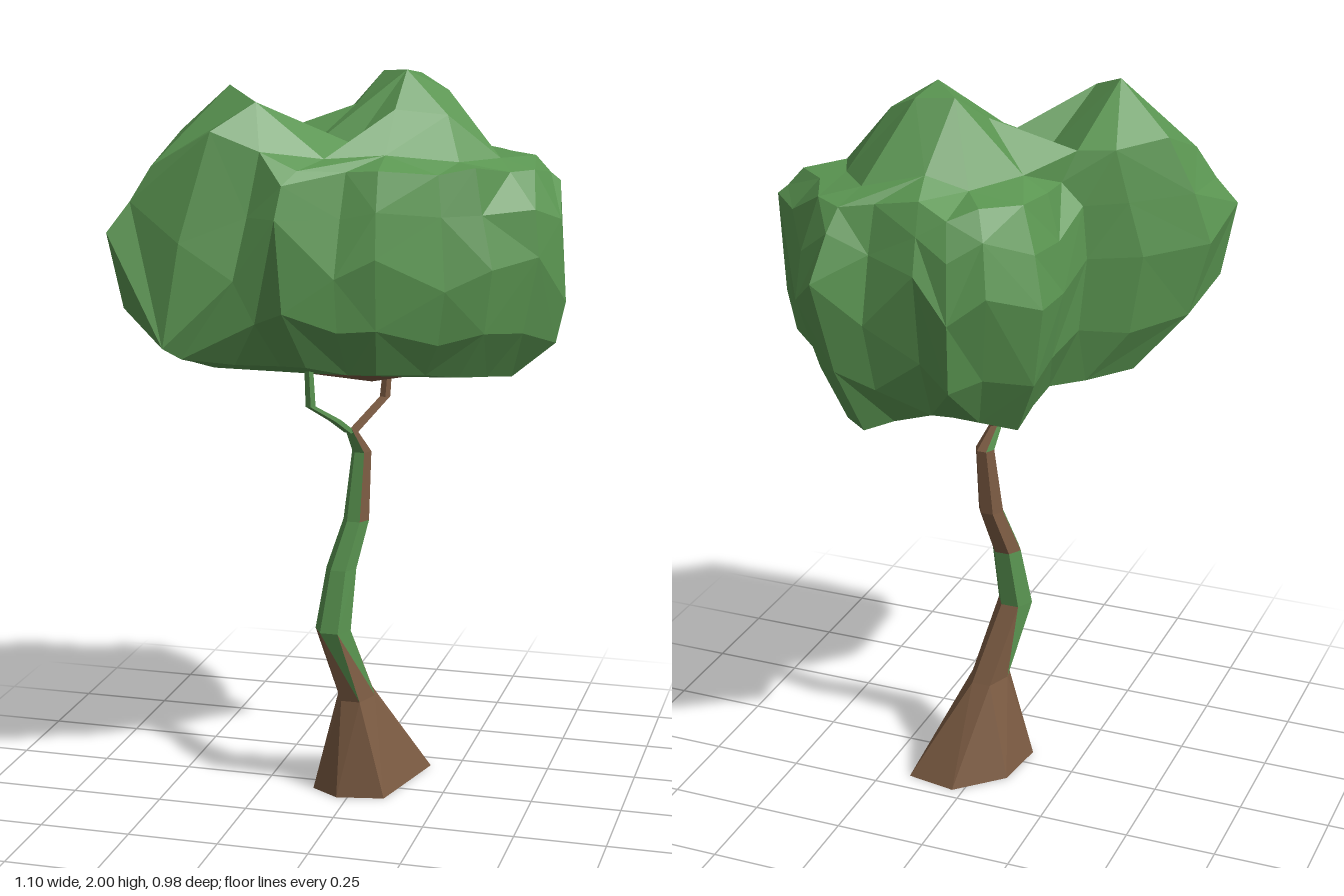
import * as THREE from 'three';

const bark = new THREE.MeshStandardMaterial({ color: 0x7d5c43, flatShading: true });
bark.name = 'bark brown';
const leaf = new THREE.MeshStandardMaterial({ color: 0x5a9551, flatShading: true });
leaf.name = 'leaf green';

let seed = 11;
const rand = () => (seed = (seed * 16807) % 2147483647) / 2147483647;
const jitter = (s) => (rand() * 2 - 1) * s;

// Skin a stack of closed rings with flat facets. isGreen(row, side, half) picks
// the colour of each triangle, flip(row) the diagonal that splits each quad.
function skin(name, rings, isGreen, flip = () => false) {
  const buckets = { Bark: [], Leaf: [] };
  const add = (green, p, q, r) => {
    if (p.distanceTo(q) < 1e-5 || q.distanceTo(r) < 1e-5 || r.distanceTo(p) < 1e-5) return;
    for (const v of [p, q, r]) buckets[green ? 'Leaf' : 'Bark'].push(v.x, v.y, v.z);
  };
  for (let i = 0; i < rings.length - 1; i++) {
    const n = rings[i].length;
    for (let j = 0; j < n; j++) {
      const k = (j + 1) % n;
      const a = rings[i][j], a1 = rings[i][k], b = rings[i + 1][j], b1 = rings[i + 1][k];
      const flipped = flip(i);
      add(isGreen(i, j, 0), a, flipped ? b1 : b, a1);
      add(isGreen(i, j, 1), flipped ? a : a1, b, b1);
    }
  }
  const group = new THREE.Group();
  group.name = name;
  for (const [key, data] of Object.entries(buckets)) {
    if (!data.length) continue;
    const geo = new THREE.BufferGeometry();
    geo.setAttribute('position', new THREE.Float32BufferAttribute(data, 3));
    geo.computeVertexNormals();
    const mesh = new THREE.Mesh(geo, key === 'Leaf' ? leaf : bark);
    mesh.name = name + key;
    group.add(mesh);
  }
  return group;
}

// Horizontal rings from rows of [x, y, z, radiusX, radiusZ].
const tubeRings = (rows, sides) => rows.map(([x, y, z, rx, rz = rx]) =>
  Array.from({ length: sides }, (_, k) => {
    const a = (k / sides) * Math.PI * 2;
    return new THREE.Vector3(x + Math.cos(a) * rx, y, z + Math.sin(a) * rz);
  }));

// Trunk: lopsided flared base, crooked stem, moss creeping up the front.
function makeTrunk() {
  const foot = [[0.17, -0.19], [0.1, 0.085], [-0.03, 0.11], [-0.11, 0.06], [-0.09, -0.1], [0.03, -0.215]]
    .map(([x, z]) => new THREE.Vector3(x, 0, z));
  const stem = tubeRings([
    [0.0, 0.27, 0.0, 0.053, 0.08],
    [-0.047, 0.48, 0.076, 0.05, 0.052],
    [-0.03, 0.65, 0.05, 0.042],
    [0.002, 0.78, 0.012, 0.036, 0.037],
    [0.013, 0.97, -0.005, 0.027, 0.03],
    [-0.008, 1.04, 0.035, 0.016],
  ], 6);
  const rings = [foot.map(() => new THREE.Vector3(0.02, 0, -0.04)), foot, ...stem];
  const moss = (row, side, half) =>
    (row === 2 && (side < 2 || side === 3) && half === 1) || row === 3 ||
    (row === 4 && side < 3) || (row === 5 && (side === 1 || side === 2)) ||
    (row === 6 && side > 0 && side < 4);
  return skin('trunk', rings, moss, (row) => row === 2);
}

// Two thin branches that carry the crown.
function makeBranch(name, rows, green) {
  return skin(name, tubeRings(rows, 5), () => green);
}

// Crown outline seen from above: [x, z, height of the widest point].
const outline = [
  [-0.55, 0.42, 1.61], [-0.54, 0.21, 1.56], [-0.40, 0.07, 1.55], [-0.27, 0.0, 1.55],
  [-0.255, -0.13, 1.5], [-0.25, -0.27, 1.5], [-0.14, -0.38, 1.55], [-0.05, -0.42, 1.48],
  [0.04, -0.42, 1.6], [0.18, -0.42, 1.45], [0.29, -0.49, 1.57], [0.36, -0.43, 1.5],
  [0.44, -0.31, 1.6], [0.51, -0.21, 1.7], [0.55, -0.10, 1.39], [0.49, -0.02, 1.52],
  [0.39, 0.10, 1.5], [0.28, 0.17, 1.45], [0.13, 0.31, 1.55], [0.03, 0.34, 1.5],
  [-0.10, 0.43, 1.66], [-0.21, 0.43, 1.5], [-0.38, 0.49, 1.33],
];

// Round bump, and a broader one with a flat crest.
const bump = (x, z, cx, cz, w) => Math.exp(-((x - cx) ** 2 + (z - cz) ** 2) / w);
const crest = (x, z, cx, cz, rx, rz) =>
  Math.exp(-((((x - cx) / rx) ** 2 + ((z - cz) / rz) ** 2) ** 2));
// Two crests above, with a saddle between them.
const topHeight = (x, z) =>
  1.78 + 0.2 * crest(x, z, -0.29, 0.23, 0.16, 0.19) + 0.22 * crest(x, z, 0.11, -0.09, 0.15, 0.18);
// Underside rising to the front, with two hanging tips behind and a low middle.
const bottomHeight = (x, z) =>
  1.185 + 0.23 * Math.max(0, z) - 0.06 * bump(x, z, 0.21, -0.355, 0.01) -
  0.06 * bump(x, z, -0.165, -0.2, 0.008) - 0.03 * bump(x, z, 0.03, -0.045, 0.008);

// Crown: meridians from the underside over the outline to the higher crest.
function makeCrown() {
  // [fraction of the outline, share of the way to the bottom (-) or top (+), columns merged, unevenness]
  const rows = [
    [0, -1, 23, 0], [0.27, -1, 4, 0.02], [0.7, -1, 1, 0.02], [0.9, -0.6, 1, 0.05], [1, 0, 1, 0],
    [0.93, 0.52, 1, 0.05], [0.82, 0.9, 1, 0.04], [0.62, 1, 2, 0.04], [0.32, 1, 3, 0.03], [0, 1, 23, 0],
  ];
  const rings = rows.map(([f, t, merged, rough], i) => {
    // The axis leans from the bare branch below to the crest above.
    const cx = THREE.MathUtils.lerp(0.03, 0.125, i / 9), cz = -0.045;
    const ring = [];
    outline.forEach(([ox, oz, mid], j) => {
      if (j % merged) { ring.push(ring[j - 1]); return; }
      const s = Math.min(f + jitter(rough), 1);
      const x = cx + (ox - cx) * s, z = cz + (oz - cz) * s;
      const goal = t < 0 ? bottomHeight(x, z) : topHeight(x, z);
      const y = mid + Math.abs(t) * (goal - mid) + jitter(rough * 0.4);
      ring.push(new THREE.Vector3(x, THREE.MathUtils.clamp(f ? y : goal, 1.13, 2), z));
    });
    return ring;
  });
  return skin('crown', rings, (row) => row > 0, () => rand() < 0.5);
}

export function createModel() {
  const tree = new THREE.Group();
  tree.name = 'tree';
  tree.add(
    makeTrunk(),
    makeBranch('mossyBranch', [
      [-0.008, 1.03, 0.035, 0.017], [-0.04, 1.07, 0.075, 0.018],
      [-0.09, 1.12, 0.14, 0.014], [-0.095, 1.3, 0.15, 0.011],
    ], true),
    makeBranch('bareBranch', [
      [-0.004, 1.03, 0.03, 0.016], [0.06, 1.11, -0.075, 0.015], [0.072, 1.3, -0.09, 0.011],
    ], false),
    makeCrown(),
  );
  return tree;
}
